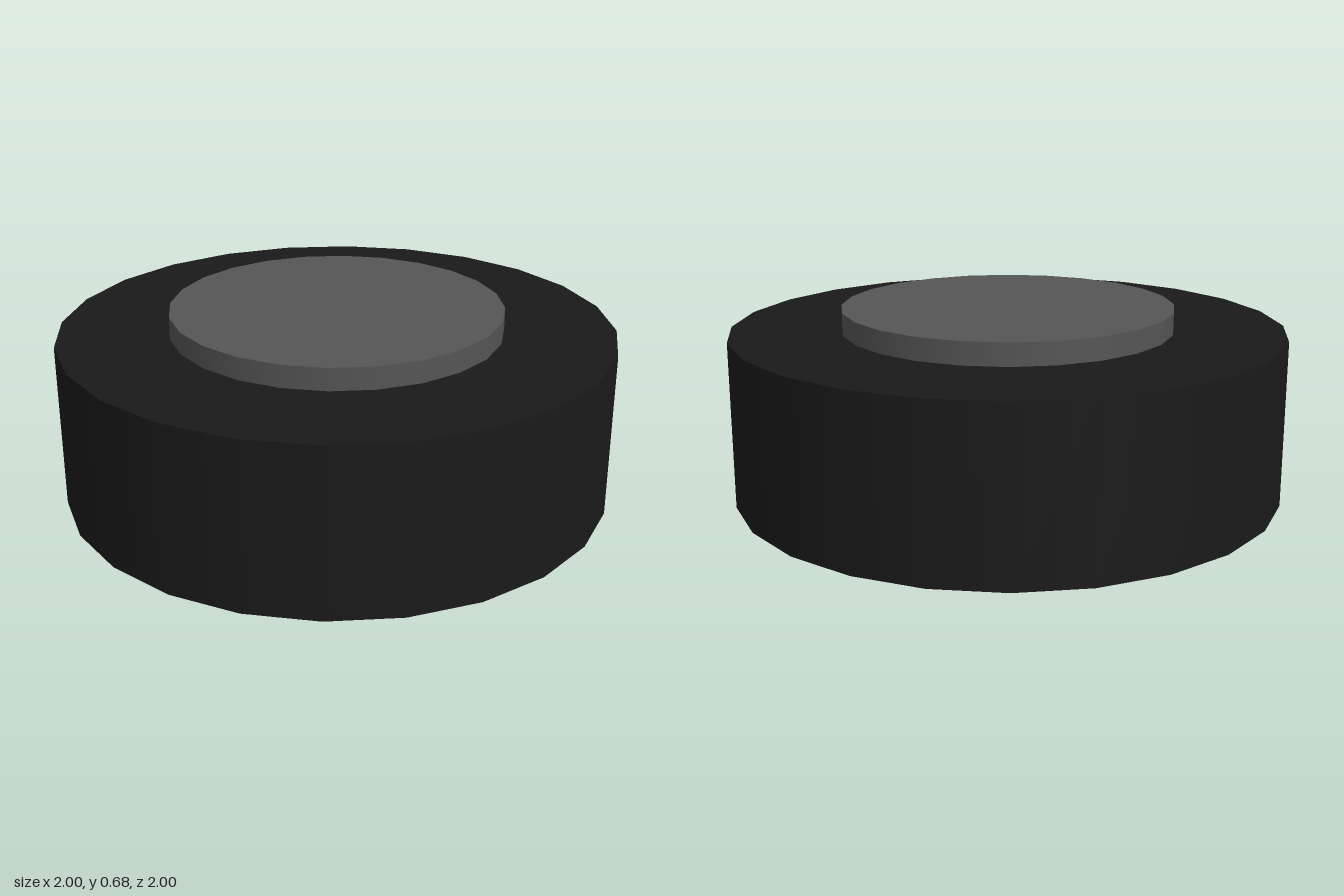
import * as THREE from 'three';

const SIDES = 24;

// Upright disc standing on height y, smooth round the side with sharp rims
function disc(name, radius, height, y, color) {
  const mesh = new THREE.Mesh(
    new THREE.CylinderGeometry(radius, radius, height, SIDES),
    new THREE.MeshStandardMaterial({ color })
  );
  mesh.name = name;
  mesh.position.y = y + height / 2;
  return mesh;
}

export function createModel() {
  const wheel = new THREE.Group();
  wheel.name = 'wheel';
  // Wide dark tyre lying flat, with a raised grey hub on its upper face
  wheel.add(disc('tyre', 1, 0.6, 0, 0x1a1a1a));
  wheel.add(disc('hub', 0.6, 0.08, 0.6, 0x555555));
  return wheel;
}
